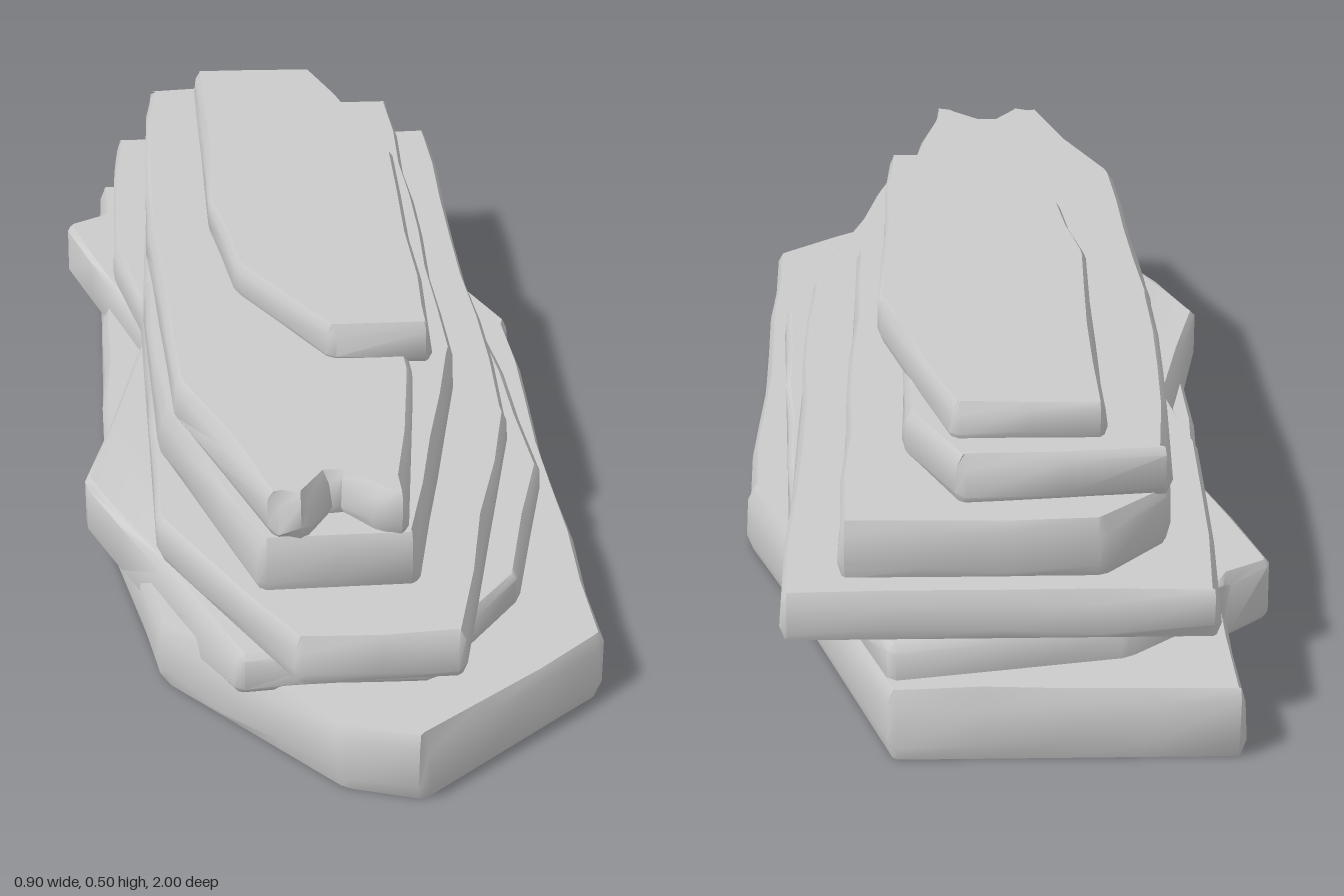
import * as THREE from 'three';
import { toCreasedNormals } from 'three/addons/utils/BufferGeometryUtils.js';

const { smoothstep } = THREE.MathUtils;

function seeded(seed) {
  return () => (seed = (seed * 16807) % 2147483647) / 2147483647;
}

// Blunt every corner slightly and split the long sides.
function refine(corners) {
  const pts = corners.map(([x, z]) => new THREE.Vector2(x, z));
  const out = [];
  pts.forEach((p, i) => {
    const q = pts[(i + 1) % pts.length];
    const len = p.distanceTo(q);
    const cut = Math.min(0.012, len * 0.2) / len;
    const n = Math.max(1, Math.round(len / 0.16));
    for (let k = 0; k <= n; k++) out.push(p.clone().lerp(q, cut + (1 - 2 * cut) * k / n));
  });
  return out;
}

// Move a ring inward; amount(i) is the distance for each point.
function inset(ring, amount) {
  const n = ring.length;
  return ring.map((p, i) => {
    const t = ring[(i + 1) % n].clone().sub(ring[(i + n - 1) % n]).normalize();
    return new THREE.Vector2(p.x - t.y * amount(i), p.y + t.x * amount(i));
  });
}

// A flat worn stone; corners are [x, z] running back-left, right, front, left.
function slabGeometry(corners, y0, y1, bevel, sag, seed) {
  const rand = seeded(seed);
  const ring = refine(corners);
  const n = ring.length;
  const wear = ring.map(rand);
  const chip = ring.map(rand);
  const h = y1 - y0;
  // Cross-section levels: underside, lower edge, worn upper edge, flat top
  const levels = [
    { ring: inset(ring, () => bevel * 0.4), y: (p) => y0 + sag(p.x, p.y) },
    { ring, y: (p, i) => y0 + sag(p.x, p.y) + h * (0.12 + 0.2 * chip[i]) },
    { ring: inset(ring, (i) => bevel * 0.45 * wear[i]), y: (p, i) => y1 - h * (0.12 + 0.2 * wear[i]) },
    { ring: inset(ring, (i) => bevel * (0.45 + 0.6 * wear[i])), y: () => y1 },
  ];
  const pos = [];
  const idx = [];
  levels.forEach((l) => l.ring.forEach((p, i) => pos.push(p.x, l.y(p, i), p.y)));
  for (let k = 0; k < levels.length - 1; k++) {
    for (let i = 0; i < n; i++) {
      const a = k * n + i, b = k * n + (i + 1) % n;
      idx.push(a, a + n, b, b, a + n, b + n);
    }
  }
  // Caps, wound to face up or down
  for (const [level, up] of [[0, false], [3, true]]) {
    const r = levels[level].ring;
    const o = level * n;
    for (const [a, b, c] of THREE.ShapeUtils.triangulateShape(r.slice(), [])) {
      const facesUp = r[b].clone().sub(r[a]).cross(r[c].clone().sub(r[a])) < 0;
      if (facesUp === up) idx.push(o + a, o + b, o + c);
      else idx.push(o + a, o + c, o + b);
    }
  }
  const geo = new THREE.BufferGeometry();
  geo.setAttribute('position', new THREE.Float32BufferAttribute(pos, 3));
  geo.setIndex(idx);
  return toCreasedNormals(geo, 0.75);
}

export function createModel() {
  const group = new THREE.Group();
  group.name = 'layeredRock';
  const stone = new THREE.MeshStandardMaterial({ color: 0xcccccc });
  const addSlab = (name, y0, y1, bevel, corners, sag = () => 0) => {
    const seed = 1234 + group.children.length * 777;
    const mesh = new THREE.Mesh(slabGeometry(corners, y0, y1, bevel, sag, seed), stone);
    mesh.name = name;
    group.add(mesh);
  };

  addSlab('baseSlab', 0, 0.125, 0.022, [[-0.38, -1], [0.18, -1], [0.36, -0.53], [0.45, -0.32],
    [0.45, 0.75], [0.12, 1], [-0.01, 0.96], [-0.29, 0.66], [-0.38, 0.25]]);

  // The underside sags along the right edge and a little at the back
  addSlab('secondSlab', 0.12, 0.185, 0.02, [[-0.37, -0.76], [-0.2, -0.9], [0.18, -0.96], [0.36, -0.5],
    [0.41, 0.3], [0.32, 0.64], [0.15, 0.85], [-0.17, 0.84], [-0.415, 0.3], [-0.3, -0.24], [-0.45, -0.7]],
  (x, z) => -0.045 * smoothstep(-x, 0.1, 0.28) - 0.02 * smoothstep(-z, 0.7, 0.9));

  addSlab('thirdSlab', 0.185, 0.268, 0.018, [[-0.34, -0.94], [0.35, -0.94], [0.355, 0.25], [0.19, 0.92],
    [-0.08, 0.92], [-0.29, 0.55], [-0.3, -0.2], [-0.35, -0.42]]);

  addSlab('fourthSlab', 0.265, 0.366, 0.018, [[-0.27, -0.78], [-0.16, -0.89], [0.26, -0.89], [0.26, 0.2],
    [0.13, 0.78], [-0.13, 0.78], [-0.28, 0.35], [-0.295, -0.1]]);

  // Notched at the front
  addSlab('fifthSlab', 0.362, 0.445, 0.022, [[-0.27, -0.8], [0.07, -0.83], [0.16, -0.65], [0.16, 0.4],
    [0.11, 0.78], [0.06, 0.77], [0, 0.7], [-0.05, 0.78], [-0.11, 0.77], [-0.25, 0.4], [-0.285, -0.2]]);

  addSlab('topSlab', 0.44, 0.505, 0.016, [[-0.168, -0.76], [0.08, -0.76], [0.205, -0.35], [0.2, 0.35],
    [0.02, 0.35], [-0.13, 0.1], [-0.165, -0.15]], (x) => -0.01 * smoothstep(x, 0.05, 0.18));

  return group;
}
